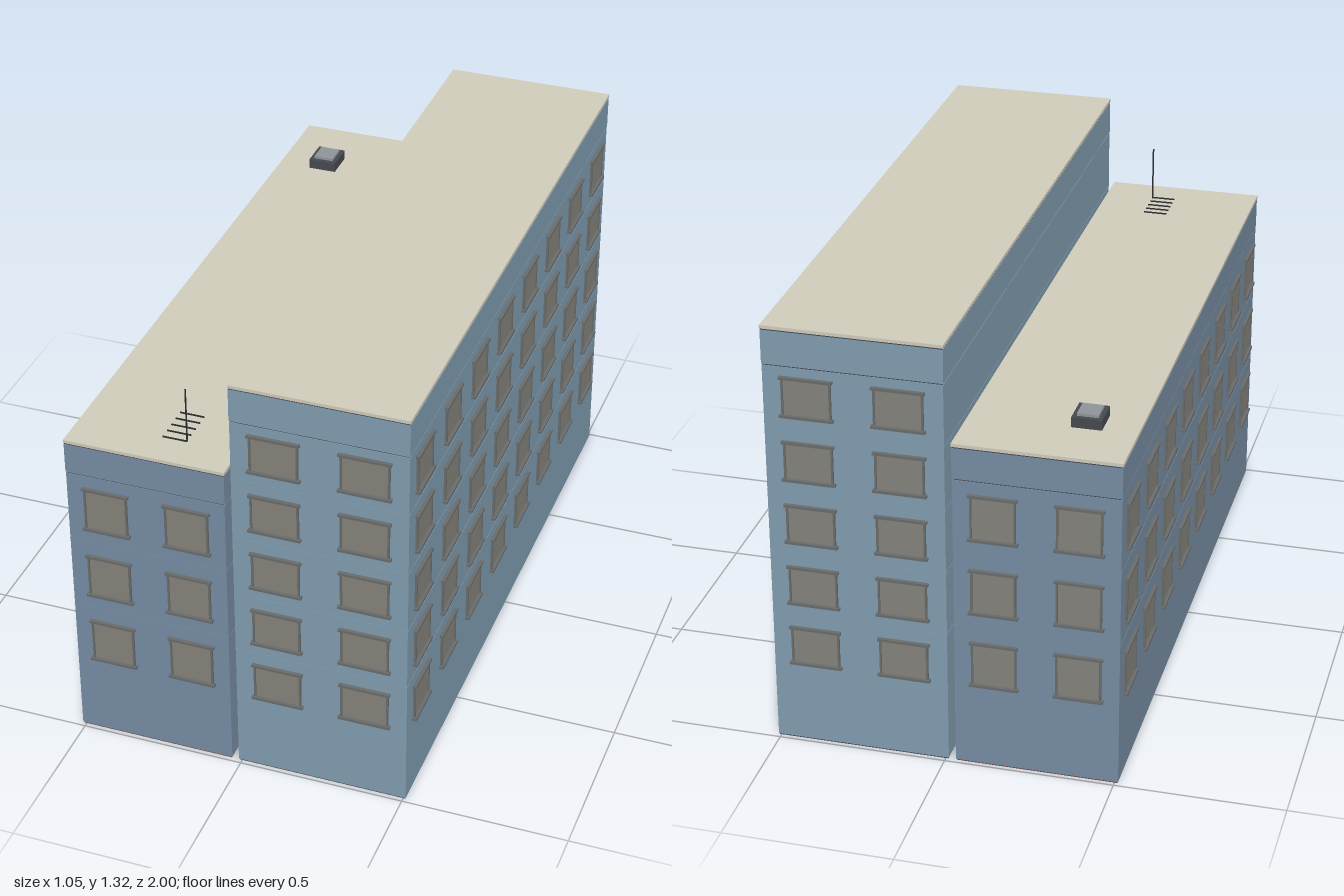
import * as THREE from 'three';

const mat = (color) => new THREE.MeshStandardMaterial({ color });
const M = {
  blue: mat(0x7f9bae), slate: mat(0x758ba1), roof: mat(0xcfcbbb), pane: mat(0x84817a),
  frame: mat(0x696b6b), dark: mat(0x45494f), hatch: mat(0x8d9499), metal: mat(0x2c2e30), brick: mat(0x6b4338),
};
const DEPTH = 1.976;

function box(parent, name, size, pos, material) {
  const m = new THREE.Mesh(new THREE.BoxGeometry(...size), material);
  m.name = name;
  m.position.set(...pos);
  parent.add(m);
  return m;
}

// Window facing +z, centred on its own origin: pane, jambs, lintel and sill
function makeWindow(w, h) {
  const g = new THREE.Group();
  g.name = 'window';
  box(g, 'pane', [w, h, 0.004], [0, 0, 0.001], M.pane);
  for (const s of [-1, 1]) box(g, 'jamb', [0.006, h, 0.008], [s * w / 2, 0, 0.003], M.frame);
  box(g, 'lintel', [w + 0.016, 0.008, 0.012], [0, h / 2, 0.005], M.frame);
  box(g, 'sill', [w + 0.018, 0.008, 0.014], [0, -h / 2, 0.006], M.frame);
  return g;
}

function makeBlock(o) {
  const g = new THREE.Group();
  g.name = o.name;
  const w = o.x1 - o.x0, cx = (o.x0 + o.x1) / 2;
  const slab = (name, y0, y1, grow, m) =>
    box(g, name, [w + grow, y1 - y0, DEPTH + grow], [cx, (y0 + y1) / 2, 0], m);

  // Body, base, frieze and roof
  slab('foundation', 0, 0.004, -0.004, o.base);
  slab('walls', 0.004, o.frieze, 0, o.wall);
  slab('friezeGroove', o.frieze, o.frieze + 0.004, -0.004, M.dark);
  slab('frieze', o.frieze + 0.004, o.top - 0.014, 0.002, o.wall);
  slab('roofShadowLine', o.top - 0.014, o.top - 0.01, 0, M.dark);
  slab('roof', o.top - 0.01, o.top, 0.004, M.roof);

  // Windows on the two ends and the outer long side
  for (let r = 0; r < o.rows; r++) {
    const y = o.firstY + r * o.pitch;
    if (r > 0) slab('stringCourse', y - o.pitch / 2 - 0.001, y - o.pitch / 2 + 0.001, 0.002, o.wall);
    for (const s of [-1, 1]) {
      for (const x of o.endX) {
        const win = makeWindow(o.winW, o.winH);
        win.position.set(x, y, s * DEPTH / 2);
        if (s < 0) win.rotation.y = Math.PI;
        g.add(win);
      }
    }
    for (let c = 0; c < 8; c++) {
      const win = makeWindow(0.124, o.winH);
      win.position.set(o.side > 0 ? o.x1 : o.x0, y, -0.867 + c * 0.2477);
      win.rotation.y = o.side * Math.PI / 2;
      g.add(win);
    }
  }
  return g;
}

export function createModel() {
  const model = new THREE.Group();
  model.name = 'apartmentBuilding';

  model.add(makeBlock({
    name: 'tallBlock', x0: -0.01, x1: 0.508, top: 1.32, frieze: 1.2, wall: M.blue, base: M.dark,
    rows: 5, firstY: 0.317, pitch: 0.1985, winW: 0.138, winH: 0.116, endX: [0.118, 0.382], side: 1,
  }));
  model.add(makeBlock({
    name: 'lowBlock', x0: -0.511, x1: -0.031, top: 1.027, frieze: 0.915, wall: M.slate, base: M.brick,
    rows: 3, firstY: 0.335, pitch: 0.235, winW: 0.126, winH: 0.136, endX: [-0.393, -0.147], side: -1,
  }));

  // Roof hatch
  const hatch = new THREE.Group();
  hatch.name = 'roofHatch';
  hatch.position.set(-0.367, 1.027, -0.763);
  box(hatch, 'hatchCurb', [0.088, 0.03, 0.096], [0, 0.015, 0], M.dark);
  box(hatch, 'hatchLid', [0.062, 0.008, 0.068], [0, 0.034, 0], M.hatch);
  model.add(hatch);

  // Mast with a row of thin rods lying on the roof
  const antenna = new THREE.Group();
  antenna.name = 'antenna';
  const mast = new THREE.Mesh(new THREE.CylinderGeometry(0.0025, 0.0025, 0.175, 8), M.metal);
  mast.name = 'mast';
  mast.position.set(-0.183, 1.1125, 0.88);
  antenna.add(mast);
  for (let i = 0; i < 5; i++)
    box(antenna, 'rod', [0.074, 0.004, 0.003], [-0.219, 1.029, 0.755 + i * 0.032], M.metal);
  model.add(antenna);

  return model;
}
